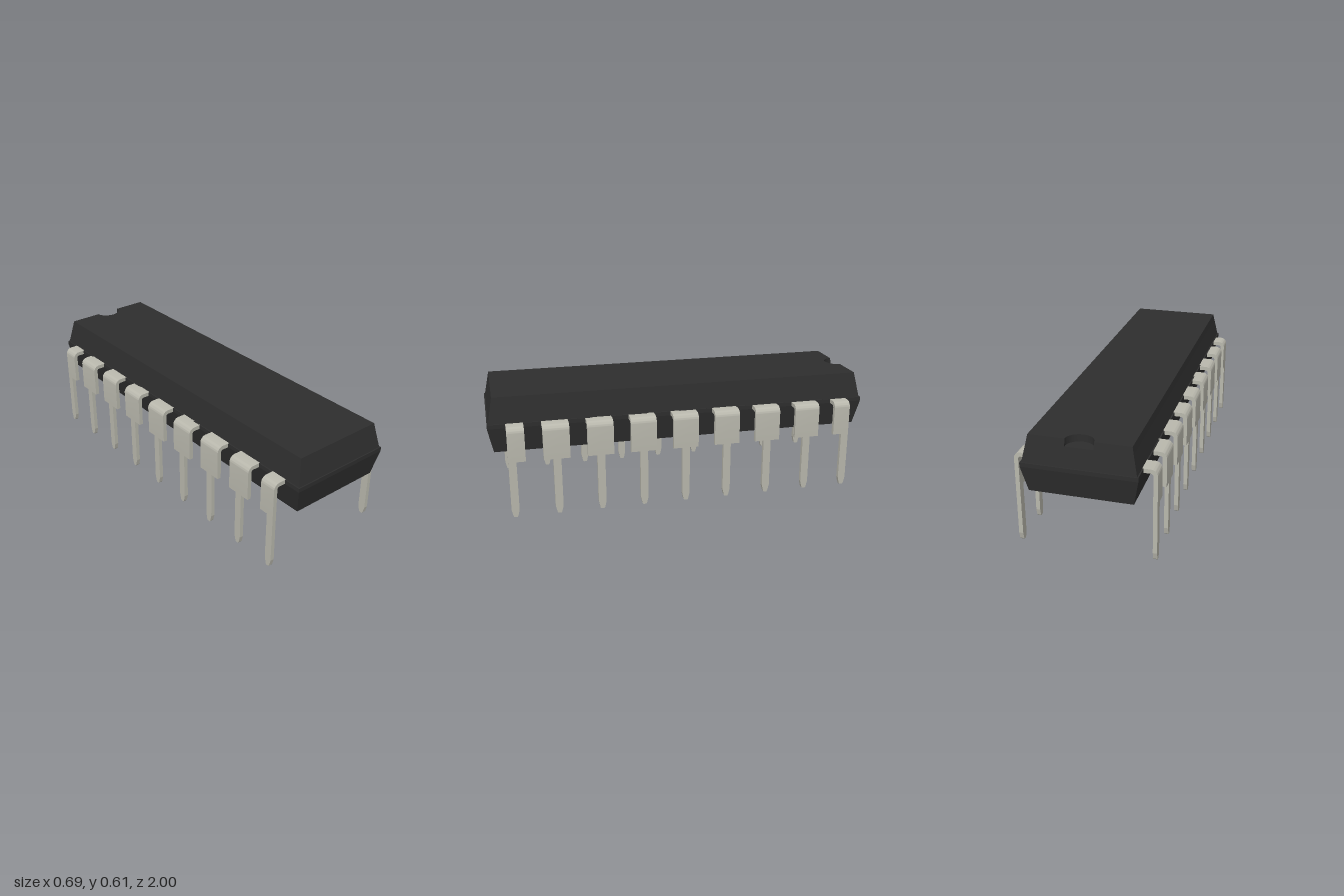
import * as THREE from 'three';
import { toCreasedNormals } from 'three/addons/utils/BufferGeometryUtils.js';

const PITCH = 0.2225, THICK = 0.021, OUTER = 0.343, SHOULDER_Y = 0.297, LEAD_TOP = 0.478;

// Box whose bottom and top rectangles differ: [y, halfX, halfZ] for each
function taperedBox([y0, x0, z0], [y1, x1, z1]) {
  const geo = new THREE.BoxGeometry(2, 2, 2);
  const p = geo.attributes.position;
  for (let i = 0; i < p.count; i++) {
    const top = p.getY(i) > 0;
    p.setXYZ(i, p.getX(i) * (top ? x1 : x0), top ? y1 : y0, p.getZ(i) * (top ? z1 : z0));
  }
  geo.computeVertexNormals();
  return geo;
}

// Top slab with a half-round notch in its back edge, flared at its underside
function notchedSlab(y0, x0, z0, y1, x1, z1) {
  const s = new THREE.Shape();
  s.moveTo(-x1, -z1);
  s.lineTo(x1, -z1);
  s.lineTo(x1, z1);
  s.lineTo(0.068, z1);
  s.absellipse(0, z1, 0.068, 0.06, 0, -Math.PI, true);
  s.lineTo(-x1, z1);
  s.closePath();
  const geo = new THREE.ExtrudeGeometry(s, { depth: y1 - y0, bevelEnabled: false, curveSegments: 20 });
  geo.rotateX(-Math.PI / 2);
  const p = geo.attributes.position;
  for (let i = 0; i < p.count; i++) {
    const x = p.getX(i), z = p.getZ(i);
    if (p.getY(i) > 0.001) continue;
    if (Math.abs(x) > x1 - 0.001) p.setX(i, Math.sign(x) * x0);
    if (Math.abs(z) > z1 - 0.001) p.setZ(i, Math.sign(z) * z0);
  }
  geo.translate(0, y0, 0);
  return toCreasedNormals(geo, 0.5);
}

// Wide bent part of a lead, running from z = a to z = b
function shoulderGeometry(a, b) {
  const R = 0.033, r = R - THICK, cx = OUTER - R, cy = LEAD_TOP - R;
  const s = new THREE.Shape();
  s.moveTo(0.26, LEAD_TOP - THICK);
  s.lineTo(cx, LEAD_TOP - THICK);
  s.absarc(cx, cy, r, Math.PI / 2, 0, true);
  s.lineTo(OUTER - THICK, SHOULDER_Y);
  s.lineTo(OUTER, SHOULDER_Y);
  s.lineTo(OUTER, cy);
  s.absarc(cx, cy, R, 0, Math.PI / 2, false);
  s.lineTo(0.26, LEAD_TOP);
  s.closePath();
  const geo = new THREE.ExtrudeGeometry(s, { depth: b - a, bevelEnabled: false, curveSegments: 8 });
  geo.translate(0, 0, a);
  return toCreasedNormals(geo, 0.5);
}

// Narrow pin with a tapered tip
function pinGeometry() {
  const s = new THREE.Shape([
    [-0.02, SHOULDER_Y], [-0.02, 0.04], [-0.012, 0.006], [-0.008, 0],
    [0.008, 0], [0.012, 0.006], [0.02, 0.04], [0.02, SHOULDER_Y],
  ].map(([u, v]) => new THREE.Vector2(u, v)));
  const geo = new THREE.ExtrudeGeometry(s, { depth: THICK, bevelEnabled: false });
  geo.rotateY(Math.PI / 2);
  geo.translate(OUTER - THICK, 0, 0);
  return geo;
}

export function createModel() {
  const plastic = new THREE.MeshStandardMaterial({ color: 0x2e2e2e });
  plastic.name = 'black plastic';
  const metal = new THREE.MeshStandardMaterial({ color: 0xb9b8ad });
  metal.name = 'tinned metal';

  const model = new THREE.Group();
  model.name = 'chipPackage';
  const add = (parent, name, geo, mat) => {
    const mesh = new THREE.Mesh(geo, mat);
    mesh.name = name;
    parent.add(mesh);
    return mesh;
  };

  // Moulded body: lower half, parting band, upper half and notched top
  const body = new THREE.Group();
  body.name = 'body';
  model.add(body);
  add(body, 'lowerBody', taperedBox([0.325, 0.25, 0.973], [0.457, 0.277, 1]), plastic);
  add(body, 'partingBand', taperedBox([0.457, 0.277, 1], [0.478, 0.277, 1]), plastic);
  add(body, 'upperBody', taperedBox([0.478, 0.27, 0.994], [0.574, 0.25, 0.975]), plastic);
  add(body, 'notchedTop', notchedSlab(0.574, 0.25, 0.975, 0.61, 0.243, 0.968), plastic);

  // Two rows of nine leads; the end leads are cut flush on their outer side
  const pin = pinGeometry();
  const fullShoulder = shoulderGeometry(-0.067, 0.067);
  const frontShoulder = shoulderGeometry(-0.067, 0.02);
  const backShoulder = shoulderGeometry(-0.02, 0.067);
  for (const side of ['left', 'right']) {
    const row = new THREE.Group();
    row.name = side + 'LeadRow';
    for (let i = -4; i <= 4; i++) {
      const lead = new THREE.Group();
      lead.name = 'lead';
      lead.position.z = i * PITCH;
      add(lead, 'leadShoulder', i === 4 ? frontShoulder : i === -4 ? backShoulder : fullShoulder, metal);
      add(lead, 'leadPin', pin, metal);
      row.add(lead);
    }
    if (side === 'right') row.rotation.y = Math.PI;
    model.add(row);
  }
  return model;
}
